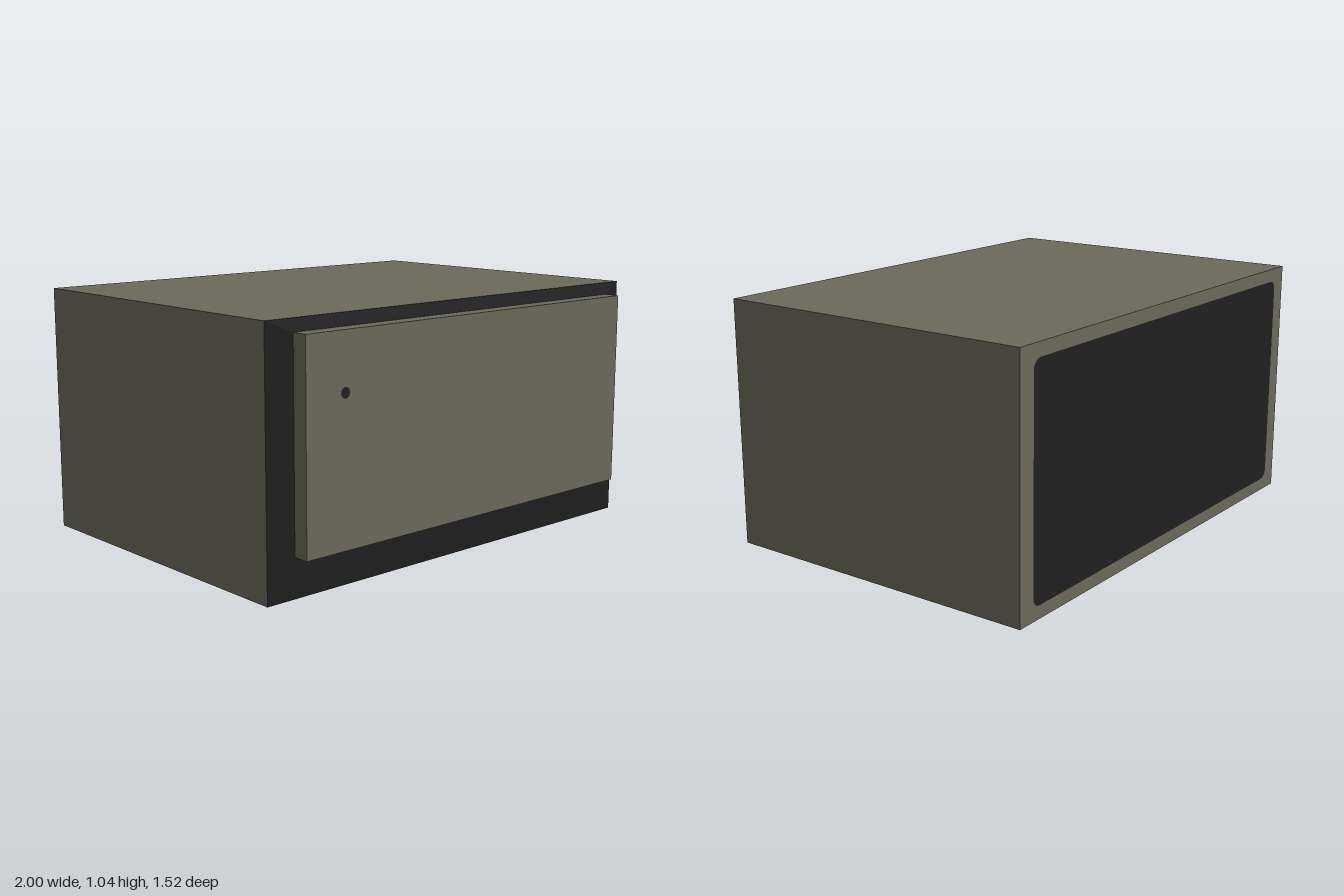
import * as THREE from 'three';

const olive = new THREE.MeshStandardMaterial({ name: 'olive casing', color: 0x6b6958 });
const black = new THREE.MeshStandardMaterial({ name: 'black trim', color: 0x202020 });

const H = 1.04, BACK = -0.757, RIM = 0.665, STEP = 0.69, FRONT = 0.757;

// Box given by its minimum and maximum corners
function box(name, material, [x0, y0, z0], [x1, y1, z1]) {
  const geometry = new THREE.BoxGeometry(x1 - x0, y1 - y0, z1 - z0);
  geometry.translate((x0 + x1) / 2, (y0 + y1) / 2, (z0 + z1) / 2);
  const mesh = new THREE.Mesh(geometry, material);
  mesh.name = name;
  return mesh;
}

// Four flat sloping faces joining two rectangles, counter-clockwise from the front
function slopedFrame(outer, inner) {
  const ring = ([x, y0, y1, z]) => [[-x, y0, z], [x, y0, z], [x, y1, z], [-x, y1, z]];
  const a = ring(outer), b = ring(inner), points = [];
  for (let i = 0; i < 4; i++) {
    const j = (i + 1) % 4;
    points.push(...a[i], ...a[j], ...b[j], ...a[i], ...b[j], ...b[i]);
  }
  const geometry = new THREE.BufferGeometry();
  geometry.setAttribute('position', new THREE.Float32BufferAttribute(points, 3));
  geometry.computeVertexNormals();
  return geometry;
}

function roundedRect(w, h, r) {
  const shape = new THREE.Shape();
  shape.absarc(w / 2 - r, h / 2 - r, r, 0, Math.PI / 2);
  shape.absarc(r - w / 2, h / 2 - r, r, Math.PI / 2, Math.PI);
  shape.absarc(r - w / 2, r - h / 2, r, Math.PI, Math.PI * 1.5);
  shape.absarc(w / 2 - r, r - h / 2, r, Math.PI * 1.5, Math.PI * 2);
  shape.closePath();
  return shape;
}

export function createModel() {
  const model = new THREE.Group();
  model.name = 'cabinet';

  // Casing and raised front door
  model.add(box('casing', olive, [-1, 0, BACK], [1, H, RIM]));
  model.add(box('door', olive, [-0.89, 0.17, RIM], [0.89, 0.992, FRONT]));

  // Dark bevel sloping from the casing edge up to the door
  const bezel = new THREE.Mesh(
    slopedFrame([1, 0, H, RIM], [0.89, 0.17, 0.992, STEP]), black);
  bezel.name = 'frontBezel';
  model.add(bezel);

  // Small round spot on the door
  const spot = new THREE.Mesh(new THREE.CircleGeometry(0.022, 10), black);
  spot.name = 'doorSpot';
  spot.position.set(-0.705, 0.763, FRONT + 0.002);
  model.add(spot);

  // Thin rounded panel on the back
  const panel = new THREE.Mesh(
    new THREE.ShapeGeometry(roundedRect(1.845, 0.93, 0.04), 4), black);
  panel.name = 'backPanel';
  panel.rotation.y = Math.PI;
  panel.position.set(0, H / 2, BACK - 0.002);
  model.add(panel);

  return model;
}
